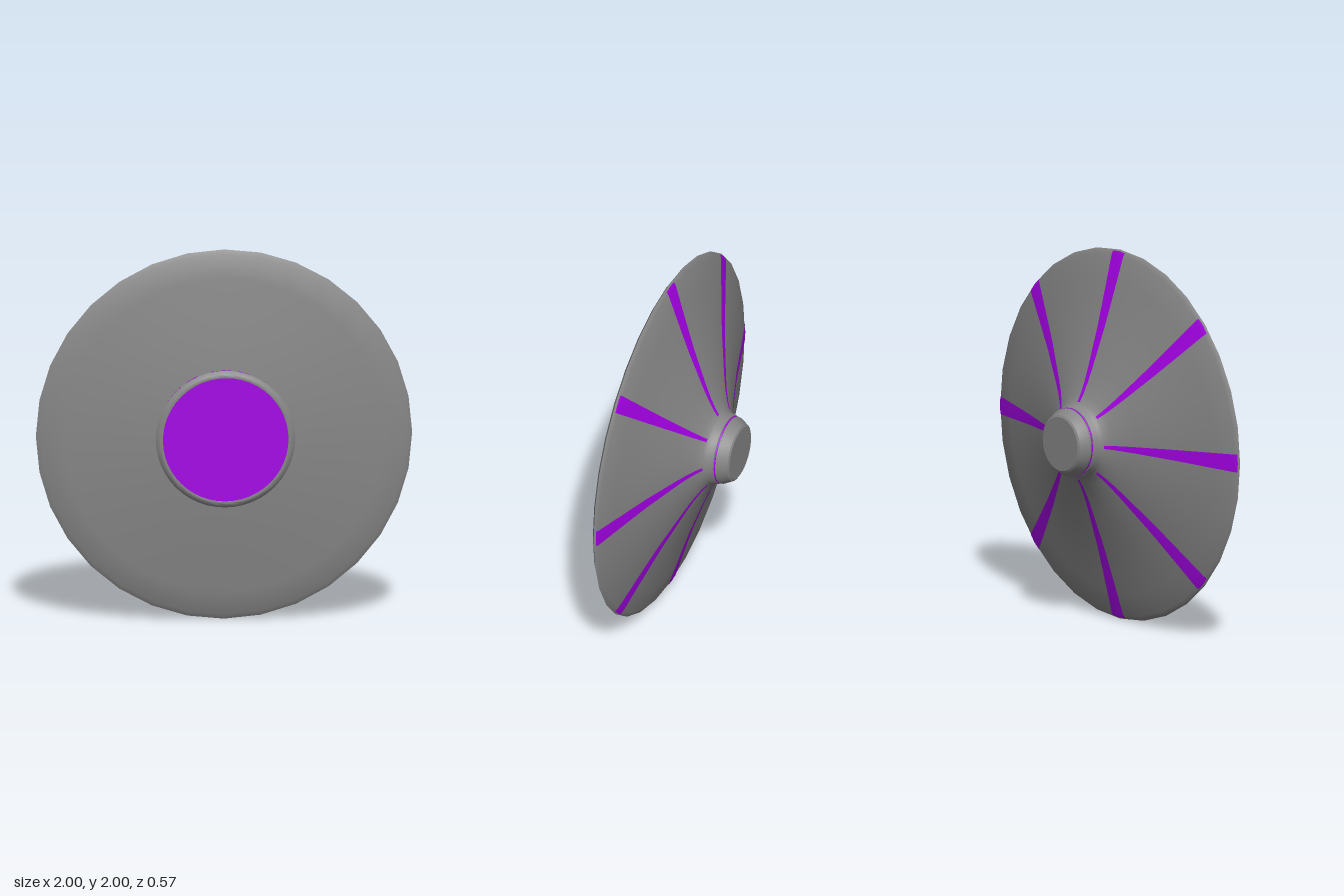
import * as THREE from 'three';
import { toCreasedNormals } from 'three/addons/utils/BufferGeometryUtils.js';

const grey = new THREE.MeshStandardMaterial({ color: 0x868686 });
const purple = new THREE.MeshStandardMaterial({ color: 0xa400e6, side: THREE.DoubleSide });
const SIDES = 32;

// Back of the saucer as [radius, z], from the shoulder out to the rim
const backCurve = [
  [0.212, -0.157], [0.25, -0.135], [0.31, -0.107], [0.38, -0.08],
  [0.48, -0.045], [0.6, -0.003], [0.73, 0.037], [0.85, 0.073], [0.975, 0.11], [0.993, 0.12],
];

// Turned part around the z axis; points run from back to front
function turned(name, profile, material, sides = SIDES, crease = 0.5) {
  const lathe = new THREE.LatheGeometry(profile.map(([r, z]) => new THREE.Vector2(r, z)), sides);
  lathe.rotateX(Math.PI / 2);
  const mesh = new THREE.Mesh(toCreasedNormals(lathe, crease), material);
  mesh.name = name;
  return mesh;
}

// Tapered band lying on the facets of the saucer's back, along +x
function stripeGeometry() {
  const positions = [], index = [];
  const fall = Math.tan(Math.PI / SIDES);
  const lift = 0.003;
  backCurve.forEach(([r, z], i) => {
    const half = 0.008 + 0.041 * (r - 0.2) / 0.8;
    for (const s of [-1, 0, 1]) {
      positions.push(r - Math.abs(s) * half * fall, s * half, z - lift);
    }
    if (i === 0) return;
    const a = (i - 1) * 3, b = i * 3;
    for (let k = 0; k < 2; k++) {
      index.push(a + k, a + k + 1, b + k, a + k + 1, b + k + 1, b + k);
    }
  });
  const geo = new THREE.BufferGeometry();
  geo.setAttribute('position', new THREE.Float32BufferAttribute(positions, 3));
  // Wound so that the faces look backwards (-z)
  geo.setIndex(index);
  geo.computeVertexNormals();
  return geo;
}

// Curved window block on the collar, between two angles in degrees
function windowBlock(from, to) {
  const a = THREE.MathUtils.degToRad(from), b = THREE.MathUtils.degToRad(to);
  const shape = new THREE.Shape();
  shape.absarc(0, 0, 0.364, a, b, false);
  shape.absarc(0, 0, 0.335, b, a, true);
  const geo = new THREE.ExtrudeGeometry(shape, { depth: 0.018, bevelEnabled: false, curveSegments: 4 });
  geo.translate(0, 0, 0.222);
  return geo;
}

export function createModel() {
  const model = new THREE.Group();
  model.name = 'saucer';

  // Main dish with its neck at the back
  model.add(turned('dish', [
    [0.17, -0.215], [0.188, -0.21], [0.195, -0.19], [0.201, -0.172], ...backCurve,
    [1, 0.127], [0.975, 0.142], [0.85, 0.16], [0.6, 0.19], [0.42, 0.21], [0.33, 0.217],
  ], grey));

  // Hub cap and the thin coloured seam under it
  model.add(turned('hubCap', [
    [0, -0.287], [0.145, -0.287], [0.157, -0.28], [0.182, -0.235], [0.184, -0.221], [0.17, -0.216],
  ], grey));
  model.add(turned('hubSeam', [[0.17, -0.22], [0.185, -0.22], [0.186, -0.214], [0.17, -0.213]], purple));

  // Collar, front ring and glowing disc
  model.add(turned('collar', [[0.348, 0.205], [0.348, 0.25]], grey, 48));
  model.add(turned('frontRing', [
    [0.345, 0.243], [0.355, 0.245], [0.37, 0.263], [0.352, 0.283], [0.343, 0.285], [0.334, 0.284], [0.332, 0.276],
  ], grey, 48, 0.9));
  const disc = new THREE.Mesh(new THREE.CircleGeometry(0.336, 48), purple);
  disc.name = 'frontDisc';
  disc.position.z = 0.282;
  model.add(disc);

  // Eight stripes and eight sets of windows: four short ones and a long one
  const stripe = stripeGeometry();
  const blocks = [[-21, -11], [-5, -2.5], [-1, 3], [5, 7.5], [9, 12]].map(([a, b]) => windowBlock(a, b));
  for (let i = 0; i < 8; i++) {
    const turn = i * Math.PI / 4;
    const band = new THREE.Mesh(stripe, purple);
    band.name = 'stripe';
    band.rotation.z = turn;
    model.add(band);

    const windows = new THREE.Group();
    windows.name = 'windowSet';
    windows.rotation.z = turn;
    for (const geo of blocks) {
      const block = new THREE.Mesh(geo, purple);
      block.name = 'window';
      windows.add(block);
    }
    model.add(windows);
  }

  // Stand the whole on y = 0
  model.children.forEach((part) => { part.position.y += 1; });
  return model;
}
